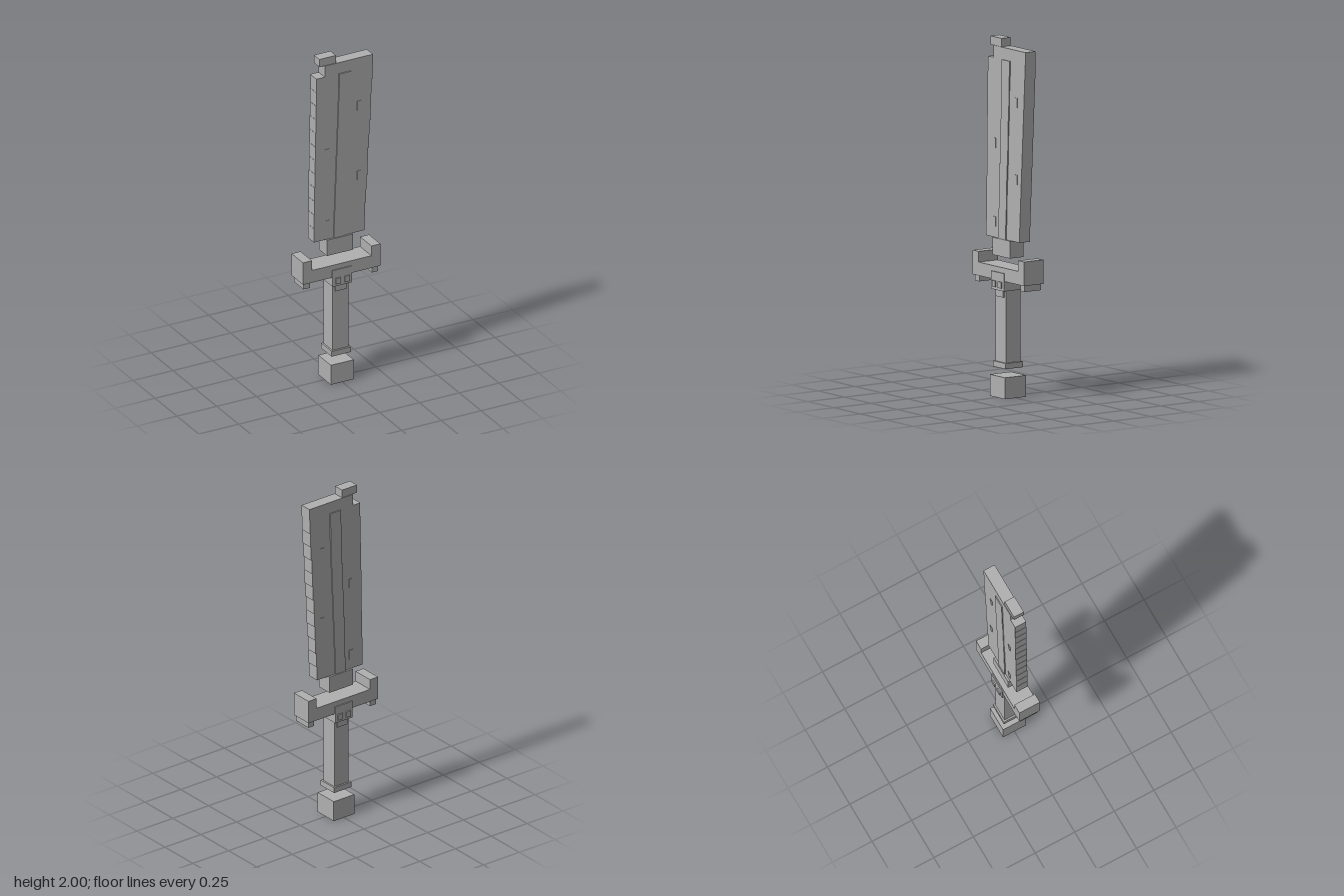
import * as THREE from 'three';

export function createModel() {
  const model = new THREE.Group();
  const grey = new THREE.MeshStandardMaterial({ color: 0xb0b0b0 });
  grey.name = 'plain grey';

  // Box from its x and y limits and its half depth
  function block(name, x0, x1, y0, y1, halfZ, z = 0) {
    const mesh = new THREE.Mesh(new THREE.BoxGeometry(x1 - x0, y1 - y0, halfZ * 2), grey);
    mesh.position.set((x0 + x1) / 2, (y0 + y1) / 2, z);
    mesh.name = name;
    model.add(mesh);
  }

  // Pommel floats below the handle
  block('pommel', -0.072, 0.072, 0, 0.12, 0.072);
  block('gripCollar', -0.06, 0.06, 0.165, 0.197, 0.06);
  block('grip', -0.05, 0.05, 0.197, 0.602, 0.05);

  // Crossguard with upturned ends and small feet
  block('guardBar', -0.187, 0.187, 0.655, 0.73, 0.065);
  for (const s of [-1, 1]) {
    block('guardEnd', Math.min(s * 0.187, s * 0.243), Math.max(s * 0.187, s * 0.243), 0.655, 0.79, 0.065);
    block('guardFoot', s * 0.215 - 0.02, s * 0.215 + 0.02, 0.62, 0.655, 0.055);
  }

  // Guard centre, with two studs on each face
  block('guardCentre', -0.06, 0.06, 0.6, 0.7, 0.071);
  block('guardTongue', -0.035, 0.035, 0.562, 0.6, 0.06);
  for (const s of [-1, 1]) {
    for (const x of [-0.028, 0.028]) block('stud', x - 0.015, x + 0.015, 0.615, 0.65, 0.005, s * 0.074);
  }

  // Blade floats above the guard and leans to +x in steps
  block('bladeNeck', -0.082, 0.082, 0.785, 0.882, 0.046);
  const rows = 12, bottom = 0.882, step = (1.885 - bottom) / rows;
  for (let i = 0; i < rows; i++) {
    const t = i / (rows - 1), y = bottom + i * step;
    block('bladeRow', -0.158 + 0.016 * t, 0.16 + 0.05 * t, y, y + step, 0.035);
    block('bladeRidgeRow', -0.035 + 0.033 * t, 0.035 + 0.037 * t, y, y + step, 0.041);
  }

  // Shallow nicks raised from both faces
  for (const [x, ys] of [[-0.077, [0.97, 1.41]], [0.125, [1.23, 1.66]]]) {
    for (const y of ys) block('bladeMark', x - 0.012, x + 0.012, y - 0.028, y + 0.028, 0.038);
  }

  // Tip and its hooked tab
  block('bladeTip', -0.09, 0.213, 1.885, 1.953, 0.035);
  block('tipTab', -0.122, -0.018, 1.953, 2, 0.031);

  return model;
}
